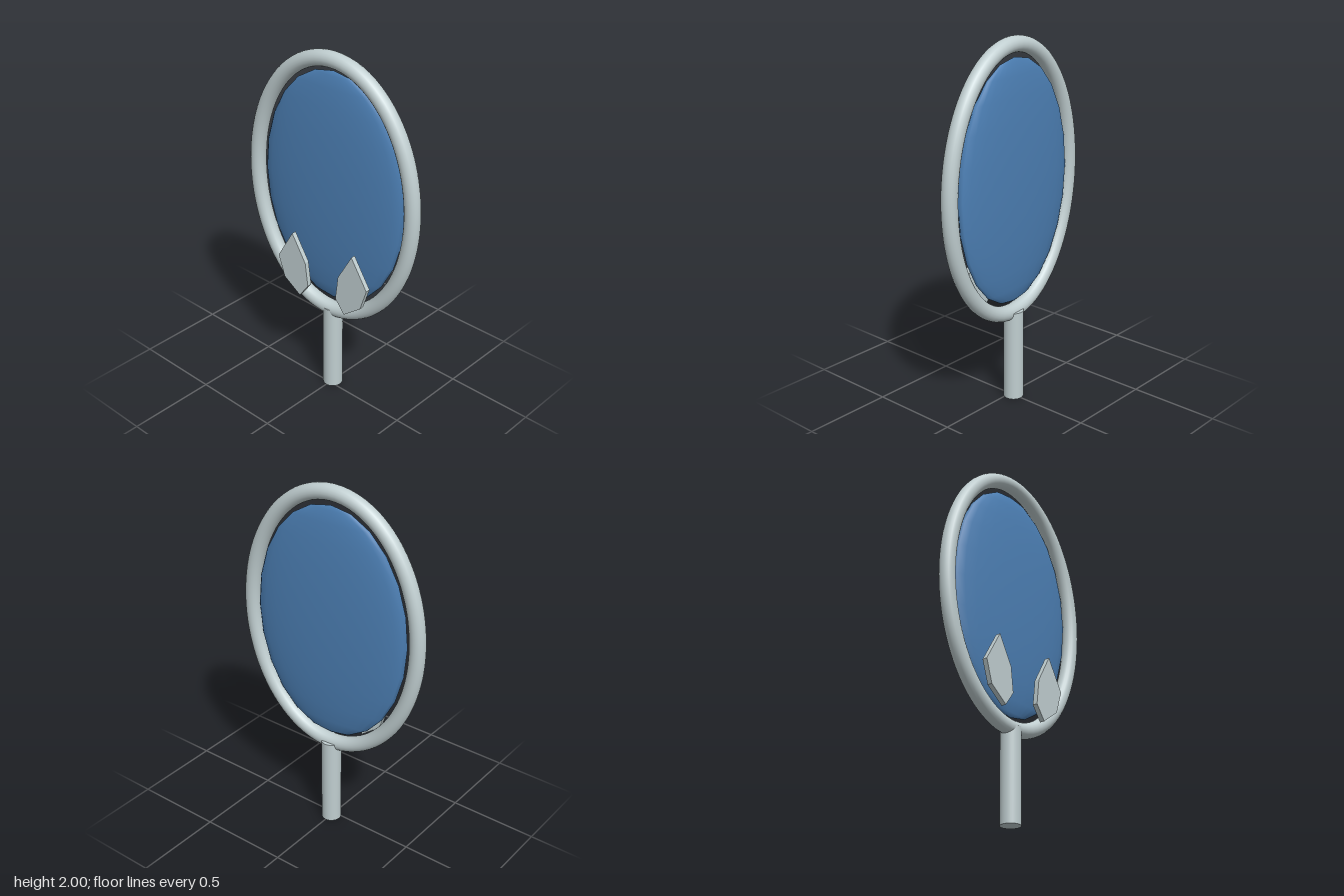
import * as THREE from 'three';

const frameGrey = new THREE.MeshStandardMaterial({ name: 'paleGrey', color: 0xc0ced0 });
const panelBlue = new THREE.MeshStandardMaterial({ name: 'blue', color: 0x4c7fb4 });

function add(parent, name, geometry, material, x = 0, y = 0, z = 0) {
  const mesh = new THREE.Mesh(geometry, material);
  mesh.name = name;
  mesh.position.set(x, y, z);
  parent.add(mesh);
  return mesh;
}

// Six-sided leaf outline, mirrored by side (+1 left, -1 right)
function leafGeometry(side, thickness) {
  const outline = [
    [0.2, 0.945], [0.3, 0.775], [0.26, 0.65],
    [0.153, 0.57], [0.095, 0.65], [0.112, 0.79],
  ].map(([x, y]) => new THREE.Vector2(x * side, y));
  return new THREE.ExtrudeGeometry(new THREE.Shape(outline), { depth: thickness, bevelEnabled: false });
}

export function createModel() {
  const model = new THREE.Group();
  model.name = 'handMirror';

  // Handle
  add(model, 'handle', new THREE.CylinderGeometry(0.055, 0.055, 0.515, 32), frameGrey, 0, 0.2575, -0.025);

  // Head, turned slightly about the upright axis
  const head = new THREE.Group();
  head.name = 'head';
  head.position.z = -0.016;
  head.rotation.y = 0.0735;
  model.add(head);

  // Oval rim with an even round section
  const points = [];
  for (let i = 0; i < 48; i++) {
    const a = (i / 48) * Math.PI * 2;
    points.push(new THREE.Vector3(0.508 * Math.cos(a), 0.725 * Math.sin(a), 0));
  }
  const oval = new THREE.CatmullRomCurve3(points, true);
  add(head, 'rim', new THREE.TubeGeometry(oval, 96, 0.043, 20, true), frameGrey, 0, 1.2325, 0);

  // Domed oval panel inside the rim
  const panel = new THREE.SphereGeometry(1, 24, 12).scale(0.457, 0.6625, 0.06);
  add(head, 'panel', panel, panelBlue, 0, 1.2325, -0.012);

  // Pair of leaf plates in front of the panel
  for (const side of [1, -1]) {
    add(head, side > 0 ? 'leftLeaf' : 'rightLeaf', leafGeometry(side, 0.028), frameGrey, 0, 0, 0.062);
  }

  return model;
}
